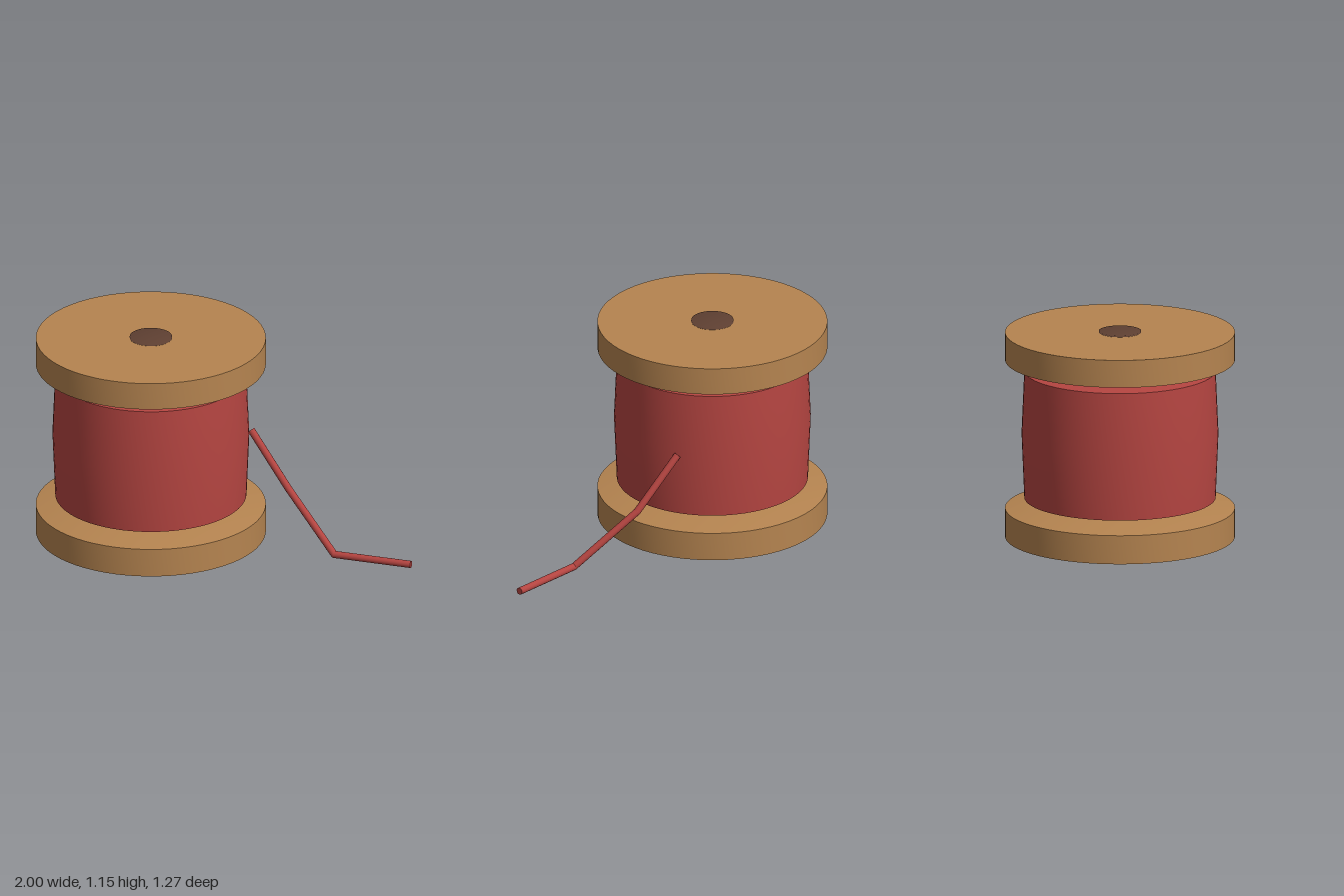
import * as THREE from 'three';
import { toCreasedNormals } from 'three/addons/utils/BufferGeometryUtils.js';

const wood = new THREE.MeshStandardMaterial({ color: 0xb58450 });
wood.name = 'wood';
const thread = new THREE.MeshStandardMaterial({ color: 0xb54541 });
thread.name = 'red thread';
const dark = new THREE.MeshStandardMaterial({ color: 0x5f4032 });
dark.name = 'dark hole';

// Turned part from [radius, height] pairs, listed bottom to top
function turned(name, profile, material, crisp = true) {
  const points = profile.map(([r, y]) => new THREE.Vector2(r, y));
  let geometry = new THREE.LatheGeometry(points, 64);
  if (crisp) geometry = toCreasedNormals(geometry, 0.3);
  const mesh = new THREE.Mesh(geometry, material);
  mesh.name = name;
  return mesh;
}

// Round rod between two points
function strand(a, b, radius) {
  const direction = b.clone().sub(a);
  const mesh = new THREE.Mesh(
    new THREE.CylinderGeometry(radius, radius, direction.length(), 12), thread);
  mesh.position.copy(a).lerp(b, 0.5);
  mesh.quaternion.setFromUnitVectors(new THREE.Vector3(0, 1, 0), direction.normalize());
  mesh.name = 'threadStrand';
  return mesh;
}

export function createModel() {
  const model = new THREE.Group();
  model.name = 'threadSpool';

  const spool = new THREE.Group();
  spool.name = 'spool';
  spool.position.set(-0.375, 0, -0.012);
  model.add(spool);

  // Wooden ends with a tapered inner face
  spool.add(turned('bottomFlange',
    [[0, 0], [0.625, 0], [0.625, 0.16], [0.36, 0.205], [0, 0.205]], wood));
  spool.add(turned('topFlange',
    [[0, 0.942], [0.36, 0.942], [0.625, 0.99], [0.625, 1.143], [0, 1.143]], wood));

  // Wound thread, bulging slightly at the middle
  spool.add(turned('woundThread',
    [[0, 0.204], [0.36, 0.204], [0.52, 0.218], [0.535, 0.58], [0.52, 0.93], [0.36, 0.943], [0, 0.943]], thread));

  // Dark spindle hole, softly shaded across its rim
  spool.add(turned('spindleHole', [[0.115, 1.13], [0.115, 1.151], [0, 1.151]], dark, false));

  // Loose thread end hanging to the ground
  const tail = new THREE.Group();
  tail.name = 'looseThread';
  const radius = 0.02;
  const path = [
    [0.172, 0.578, -0.008], [0.362, 0.295, 0.158], [0.588, 0.021, 0.44], [0.993, 0.021, 0.61],
  ].map((p) => new THREE.Vector3(...p));
  for (let i = 0; i < path.length - 1; i++) {
    tail.add(strand(path[i], path[i + 1], radius));
    if (i > 0) {
      const joint = new THREE.Mesh(new THREE.SphereGeometry(radius, 12, 8), thread);
      joint.position.copy(path[i]);
      joint.name = 'threadBend';
      tail.add(joint);
    }
  }
  model.add(tail);
  return model;
}
